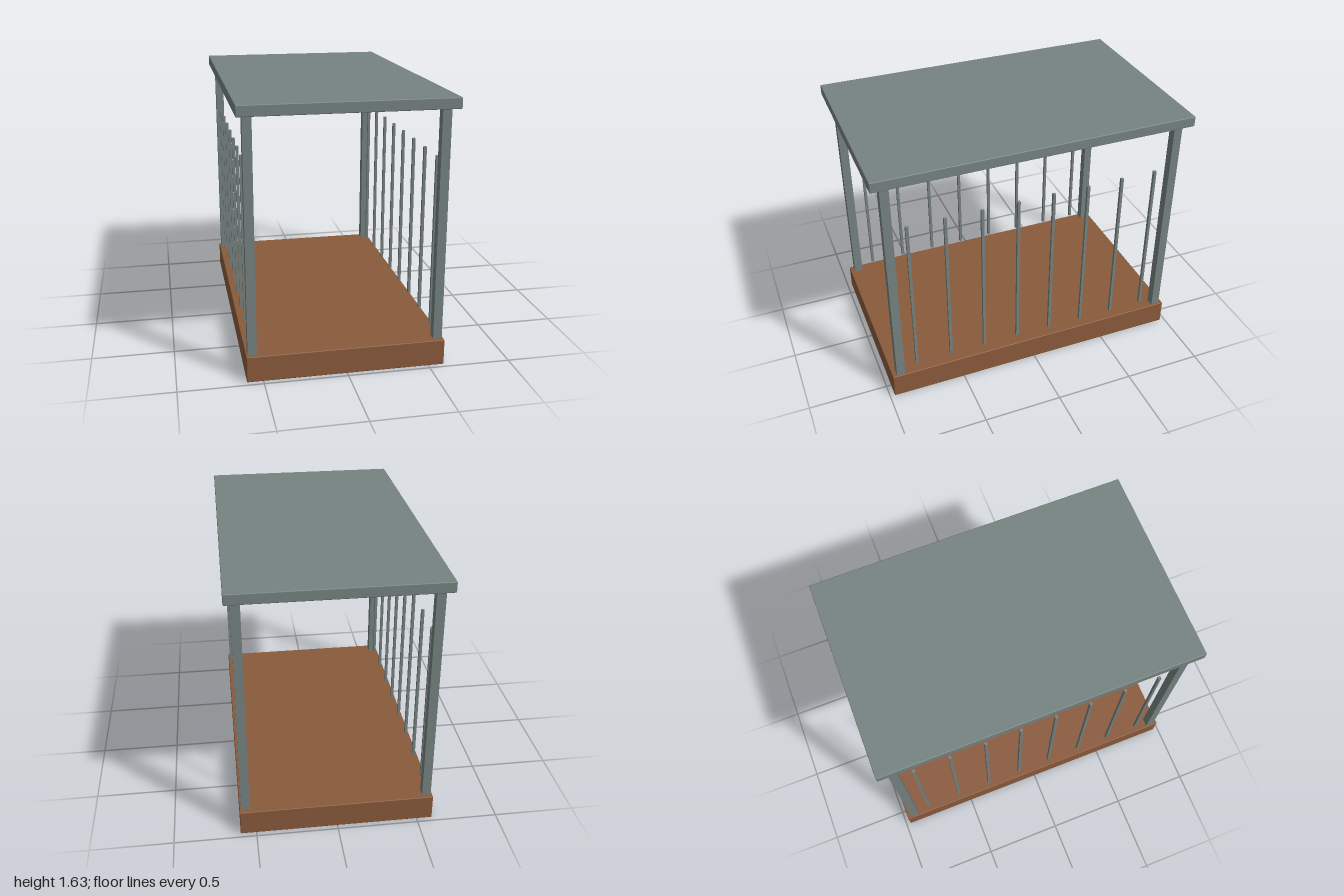
import * as THREE from 'three';
import { RoundedBoxGeometry } from 'three/addons/geometries/RoundedBoxGeometry.js';

export function createModel() {
  const model = new THREE.Group();
  model.name = 'openShelter';

  const wood = new THREE.MeshStandardMaterial({ color: 0x8a5a3b });
  wood.name = 'brownWood';
  const metal = new THREE.MeshStandardMaterial({ color: 0x768381 });
  metal.name = 'greyMetal';

  // Box centred at x, z and spanning y0 to y1, with optional eased edges
  function slab(name, material, w, d, x, z, y0, y1, radius = 0) {
    const h = y1 - y0;
    const geometry = radius
      ? new RoundedBoxGeometry(w, h, d, 2, radius)
      : new THREE.BoxGeometry(w, h, d);
    const mesh = new THREE.Mesh(geometry, material);
    mesh.name = name;
    mesh.position.set(x, (y0 + y1) / 2, z);
    model.add(mesh);
  }

  // Floor and flat roof
  slab('floor', wood, 1.194, 1.94, 0, 0, 0, 0.16, 0.005);
  slab('roof', metal, 1.25, 2, 0, 0, 1.57, 1.635, 0.005);

  for (const side of [-1, 1]) {
    const x = side * 0.56;
    // Corner posts
    for (const end of [-1, 1]) {
      slab('cornerPost', metal, 0.054, 0.054, x, end * 0.915, 0.155, 1.575);
    }
    // Eight thin bars along each long side
    for (let i = 0; i < 8; i++) {
      slab('sideBar', metal, 0.018, 0.018, x, -0.8 + (i * 1.6) / 7, 0.2, 1.26);
    }
  }
  return model;
}
